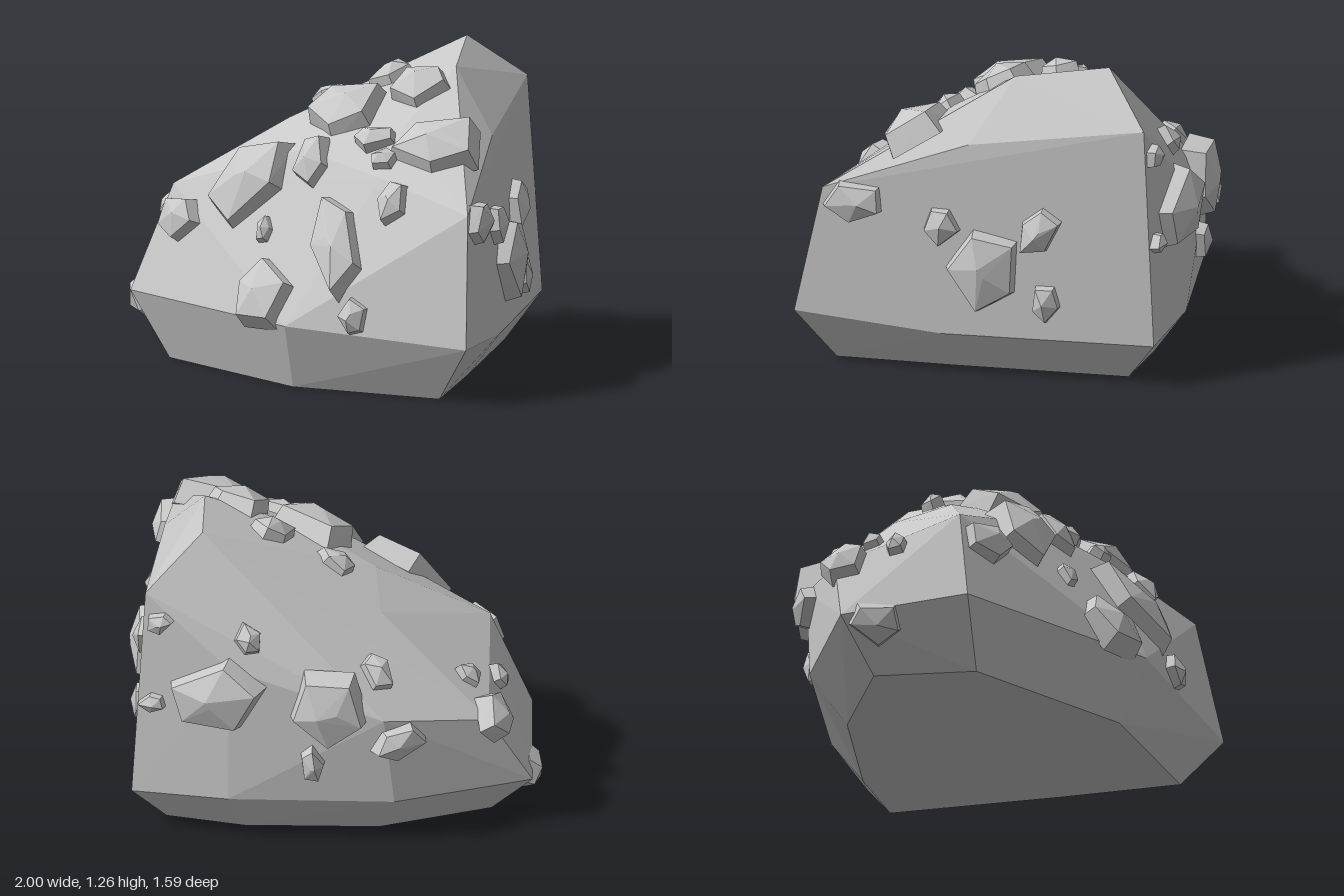
import * as THREE from 'three';
import { ConvexGeometry } from 'three/addons/geometries/ConvexGeometry.js';

const V = (x, y, z) => new THREE.Vector3(x, y, z);

// Widest ring of the boulder, just above the ground
const rim = [
  V(-1, 0.2, 0.35), V(-0.65, 0.27, 0.72), V(0.29, 0.27, 0.73), V(1, 0.235, 0.39),
  V(0.65, 0.18, -0.1), V(0.13, 0.18, -0.79), V(-0.22, 0.2, -0.6), V(-0.72, 0.2, -0.16),
];
const shoulders = [
  V(-0.9, 0.5, 0.2), V(-0.56, 0.7, 0.57), V(0.92, 0.76, 0.31), V(-0.7, 0.58, -0.2),
  V(-0.2, 0.78, -0.57), V(0.12, 1.07, -0.72), V(0.55, 0.97, -0.15),
];
const crown = [
  V(0, 0.9, 0.38), V(0.45, 0.85, 0.36), V(-0.28, 0.96, 0.2), V(-0.45, 0.88, 0.05),
  V(0.02, 1.04, 0.14), V(0.35, 1.02, 0.14), V(0.31, 1.21, -0.17), V(0.06, 1.26, -0.45),
];

// Stones on each side: two coordinates, half width, half height, roll
const frontStones = [
  [-0.17, 0.75, 0.14, 0.2, -0.5], [-0.46, 0.58, 0.1, 0.09], [-0.75, 0.55, 0.04, 0.055],
  [0.13, 0.37, 0.12, 0.14], [0.39, 0.58, 0.1, 0.22, 0.5], [0.09, 0.86, 0.075, 0.11],
  [0, 0.59, 0.03, 0.06], [0.41, 0.9, 0.055, 0.05], [0.56, 0.77, 0.065, 0.09],
  [0.55, 0.33, 0.06, 0.075], [-0.88, 0.49, 0.1, 0.09], [-0.88, 0.17, 0.1, 0.085],
];
const topStones = [
  [0.03, 0.16, 0.17, 0.14], [0.29, 0.24, 0.085, 0.06], [0.25, -0.03, 0.12, 0.11],
  [0.56, 0.14, 0.18, 0.14], [0.01, -0.1, 0.07, 0.1], [-0.22, 0.03, 0.045, 0.08],
  [-0.74, 0.25, 0.04, 0.06], [-0.58, -0.12, 0.055, 0.085], [-0.22, -0.48, 0.05, 0.065],
];
const rearStones = [
  [-0.15, 0.65, 0.19, 0.15], [-0.53, 0.63, 0.15, 0.16, -0.5], [-0.73, 0.48, 0.1, 0.07],
  [-0.48, 0.38, 0.05, 0.075], [0.06, 0.95, 0.06, 0.04], [0.07, 0.59, 0.055, 0.04],
];
const sideStones = [
  [0.2, 0.71, 0.12, 0.085], [-0.08, 0.63, 0.07, 0.08], [-0.23, 0.46, 0.15, 0.17, -0.4],
  [-0.4, 0.63, 0.075, 0.11, -0.7], [-0.43, 0.34, 0.055, 0.075],
];

// Seeded random numbers
function seeded(seed) {
  return () => (seed = (seed * 16807) % 2147483647) / 2147483647;
}

// Boulder body: the underside is the rim drawn inwards onto the ground
function bodyGeometry() {
  const underside = rim.map((p) => V(p.x * 0.8, 0, p.z * 0.82 + 0.035));
  return new ConvexGeometry([...underside, ...rim, ...shoulders, ...crown]);
}

// Chipped stone: five sides rising to a small, off-centre crest
function stoneGeometry(w, h, rand) {
  const points = [];
  const depth = 0.035 + 0.42 * Math.sqrt(w * h);
  const turn = rand() * 6;
  for (let i = 0; i < 5; i++) {
    const a = turn + ((i + 0.35 * (rand() - 0.5)) / 5) * Math.PI * 2;
    const r = 1.06 + 0.18 * rand();
    const x = Math.cos(a) * w * r, y = Math.sin(a) * h * r;
    points.push(V(x, y, -0.4 * depth), V(x * 0.85, y * 0.85, depth * (0.45 + 0.25 * rand())));
  }
  const cx = (rand() - 0.5) * w * 0.5, cy = (rand() - 0.5) * h * 0.5;
  points.push(V(cx, cy, depth), V(-cx * 0.6, -cy * 0.6, depth * 0.92));
  return new ConvexGeometry(points);
}

export function createModel() {
  const group = new THREE.Group();
  group.name = 'boulder';
  const rock = new THREE.MeshStandardMaterial({ color: 0xc8c8c8 });
  rock.name = 'grey rock';

  const body = new THREE.Mesh(bodyGeometry(), rock);
  body.name = 'boulderBody';
  group.add(body);

  // Drop each stone straight onto the body and turn it to face outwards
  const rand = seeded(4127);
  function addStones(name, list, start, direction) {
    for (const [a, b, w, h, roll = 0.15] of list) {
      const [hit] = new THREE.Raycaster(start(a, b), direction).intersectObject(body);
      const n = hit.face.normal;
      const across = V(0, 1, 0).cross(n).normalize();
      const stone = new THREE.Mesh(stoneGeometry(w, h, rand), rock);
      stone.name = name;
      stone.position.copy(hit.point);
      stone.quaternion.setFromRotationMatrix(new THREE.Matrix4().makeBasis(across, n.clone().cross(across), n));
      stone.rotateZ(roll);
      group.add(stone);
    }
  }
  addStones('frontStone', frontStones, (x, y) => V(x, y, 3), V(0, 0, -1));
  addStones('topStone', topStones, (x, z) => V(x, 3, z), V(0, -1, 0));
  addStones('rearStone', rearStones, (x, y) => V(x, y, -3), V(0, 0, 1));
  addStones('sideStone', sideStones, (z, y) => V(3, y, z), V(-1, 0, 0));
  return group;
}
